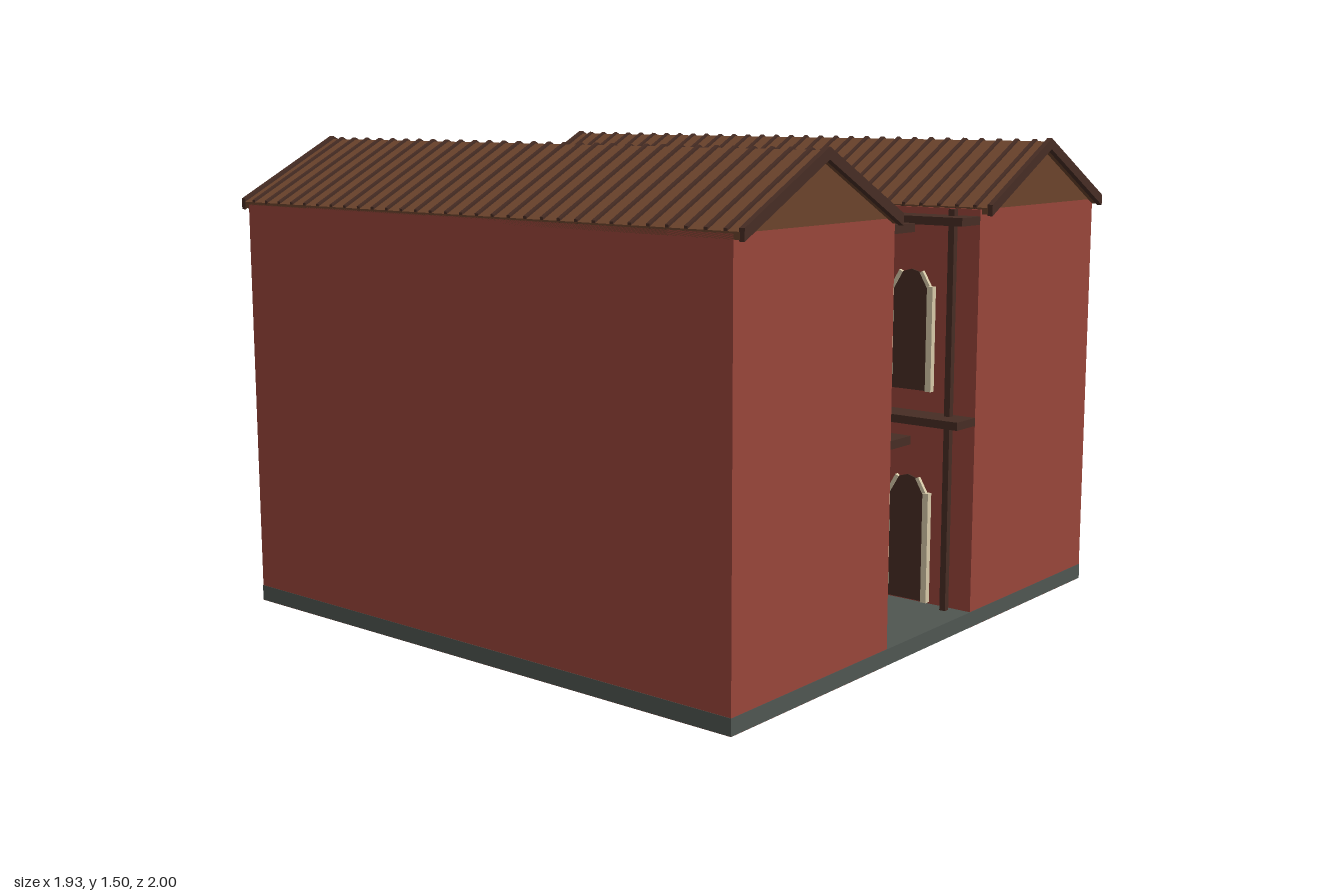
import * as THREE from 'three';

const mat = (name, color) => {
  const m = new THREE.MeshStandardMaterial({ color });
  m.name = name;
  return m;
};

export function createModel() {
  const red = mat('red wall', 0x98453a);
  const stone = mat('grey stone', 0x4f5651);
  const tile = mat('roof brown', 0x6b432c);
  const wood = mat('dark wood', 0x472d24);
  const cream = mat('cream trim', 0xd6c9a8);
  const glass = mat('grey glass', 0x5c6866);

  const root = new THREE.Group();
  root.name = 'courtyardHouse';

  // Box given by its min and max corners
  const box = (parent, name, m, x0, x1, y0, y1, z0, z1) => {
    const mesh = new THREE.Mesh(new THREE.BoxGeometry(x1 - x0, y1 - y0, z1 - z0), m);
    mesh.position.set((x0 + x1) / 2, (y0 + y1) / 2, (z0 + z1) / 2);
    mesh.name = name;
    parent.add(mesh);
    return mesh;
  };

  // Outline in x and y, extruded from z0 to z1
  const prism = (parent, name, m, pts, z0, z1) => {
    const shape = new THREE.Shape(pts.map(p => new THREE.Vector2(p[0], p[1])));
    const geo = new THREE.ExtrudeGeometry(shape, { depth: z1 - z0, bevelEnabled: false });
    geo.translate(0, 0, z0);
    const mesh = new THREE.Mesh(geo, m);
    mesh.name = name;
    parent.add(mesh);
    return mesh;
  };

  // Roof section: an inverted V of given thickness, lifted by a small amount
  const chevron = (lift, t) => [
    [-0.36, 1.295 + lift], [-0.36, 1.295 + lift - t], [0, 1.485 + lift - t],
    [0.36, 1.295 + lift - t], [0.36, 1.295 + lift], [0, 1.485 + lift],
  ];

  // Arched opening with a dark leaf and cream jambs, facing +z
  const opening = (name, h) => {
    const g = new THREE.Group();
    g.name = name;
    prism(g, 'leaf', wood, [
      [-0.07, 0], [0.07, 0], [0.07, h - 0.07], [0.035, h - 0.01],
      [0, h], [-0.035, h - 0.01], [-0.07, h - 0.07],
    ], 0, 0.008);
    for (const s of [-1, 1]) {
      const x = s * 0.073;
      box(g, 'jamb', cream, x - 0.01, x + 0.01, 0, h - 0.05, 0, 0.02);
      const c = box(g, 'archTrim', cream, -0.006, 0.006, -0.035, 0.035, 0, 0.012);
      c.position.set(s * 0.054, h - 0.037, 0.006);
      c.rotation.z = s * 0.53;
    }
    return g;
  };

  // Stone base, rear block and two wings
  box(root, 'base', stone, -0.966, 0.966, 0.001, 0.05, -0.966, 0.966);
  box(root, 'rearBlock', red, -0.235, 0.235, 0.05, 1.29, -0.965, -0.43);

  for (const s of [-1, 1]) {
    const wing = new THREE.Group();
    wing.name = s < 0 ? 'rightWing' : 'leftWing';
    root.add(wing);
    box(wing, 'wall', red, s * 0.6 - 0.365, s * 0.6 + 0.365, 0, 1.29, -0.965, 0.965);

    // Gabled roof with ribs and end boards
    const roof = new THREE.Group();
    roof.name = 'roof';
    roof.position.x = s * 0.605;
    wing.add(roof);
    prism(roof, 'gable', tile, [[-0.355, 1.29], [0.355, 1.29], [0, 1.475]], -0.965, 0.965);
    prism(roof, 'roofSlab', tile, chevron(0, 0.02), -0.985, 0.985);
    const ribs = 31;
    for (let i = 0; i < ribs; i++) {
      const z = -0.94 + (1.88 * i) / (ribs - 1);
      prism(roof, 'roofRib', wood, chevron(0.007, 0.012), z - 0.006, z + 0.006);
    }
    for (const e of [-1, 1])
      prism(roof, 'endBoard', wood, chevron(0.01, 0.034), e * 0.9915 - 0.0085, e * 0.9915 + 0.0085);

    // Gallery decks and posts
    const x0 = Math.min(s * 0.13, s * 0.235), x1 = Math.max(s * 0.13, s * 0.235);
    for (const y of [0.635, 1.245])
      box(wing, 'galleryDeck', wood, x0, x1, y, y + 0.025, -0.43, 0.965);
    for (const z of [0.89, 0.44, -0.01])
      box(wing, 'post', wood, s * 0.205 - 0.01, s * 0.205 + 0.01, 0.05, 1.29, z - 0.01, z + 0.01);

    // Doors below, windows above
    for (let i = 0; i < 4; i++) {
      for (const [name, y, h] of [['door', 0.055, 0.4], ['archedWindow', 0.725, 0.375]]) {
        const o = opening(name, h);
        o.position.set(s * 0.235, y, 0.735 - i * 0.36);
        o.rotation.y = -s * Math.PI / 2;
        wing.add(o);
      }
    }
  }

  // Three framed windows on the rear block
  for (const x of [-0.145, 0, 0.145]) {
    const w = new THREE.Group();
    w.name = 'rearWindow';
    w.position.set(x, 0.76, -0.43);
    root.add(w);
    box(w, 'pane', glass, -0.045, 0.045, 0.01, 0.25, 0, 0.008);
    for (const s of [-1, 1])
      box(w, 'frameSide', wood, s * 0.048 - 0.007, s * 0.048 + 0.007, 0.012, 0.248, 0, 0.03);
    for (const y of [0, 0.248])
      box(w, 'frameRail', wood, -0.058, 0.058, y, y + 0.012, 0, 0.038);
    for (const b of [-0.02, 0.012, 0.026])
      box(w, 'glazingBar', cream, b - 0.002, b + 0.002, 0.012, 0.248, 0.008, 0.014);
  }

  return root;
}
